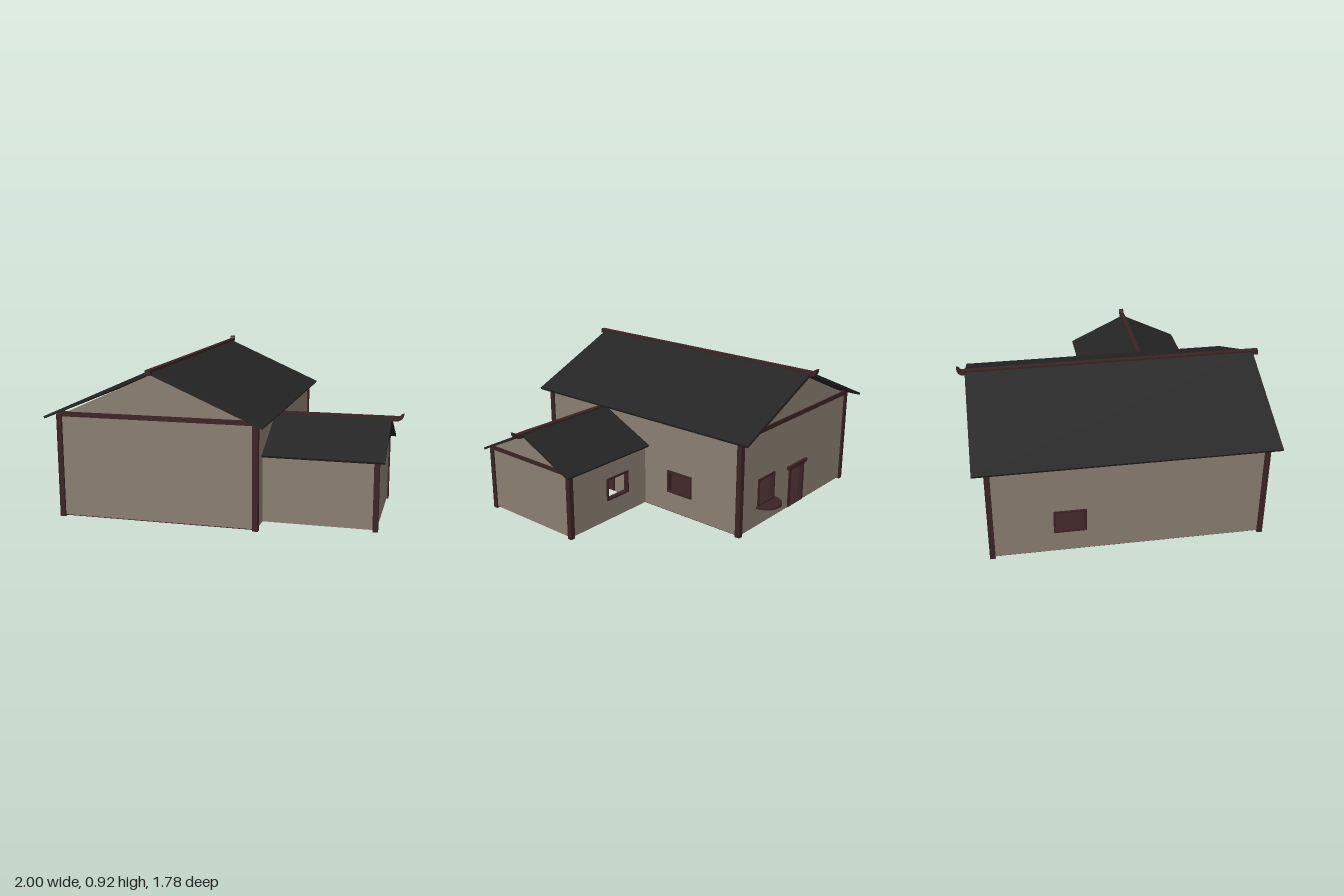
import * as THREE from 'three';

const material = (name, color) => Object.assign(new THREE.MeshStandardMaterial({ color }), { name });

export function createModel() {
  const plaster = material('plaster', 0x8b7e71);
  const tile = material('roofTile', 0x242424);
  const wood = material('darkWood', 0x3c2324);
  const house = new THREE.Group();
  house.name = 'house';

  const add = (name, geo, mat, parent) => {
    const mesh = new THREE.Mesh(geo, mat);
    mesh.name = name;
    parent.add(mesh);
    return mesh;
  };
  const box = (name, mat, parent, x0, x1, y0, y1, z0, z1) => {
    const mesh = add(name, new THREE.BoxGeometry(x1 - x0, y1 - y0, z1 - z0), mat, parent);
    mesh.position.set((x0 + x1) / 2, (y0 + y1) / 2, (z0 + z1) / 2);
    return mesh;
  };
  const outline = (pts) => new THREE.Shape(pts.map(([u, y]) => new THREE.Vector2(u, y)));
  const rect = ([u0, u1, y0, y1]) => [[u0, y0], [u1, y0], [u1, y1], [u0, y1]];
  // Flat profile extruded evenly to both sides of its plane
  const slab = (shape, depth) =>
    new THREE.ExtrudeGeometry(shape, { depth, bevelEnabled: false, curveSegments: 8 }).translate(0, 0, -depth / 2);
  // A plane across the house ('z': u = x) or along it ('x': u = z)
  const place = (mesh, axis, at) => {
    if (axis === 'z') mesh.position.z = at;
    else {
      mesh.rotation.y = -Math.PI / 2;
      mesh.position.x = at;
    }
    return mesh;
  };

  // Wall with framed openings: { r: [u0, u1, y0, y1], door }
  const wall = (name, parent, axis, at, pts, openings = []) => {
    const shape = outline(pts);
    openings.forEach(({ r }) => shape.holes.push(outline(rect(r))));
    place(add(name, slab(shape, 0.012), plaster, parent), axis, at);
    openings.forEach(({ r: [u0, u1, y0, y1], door }) => {
      const t = door ? 0.018 : 0.011;
      const ring = outline(rect([u0 - t / 2, u1 + t / 2, door ? y0 : y0 - t / 2, y1 + t / 2]));
      ring.holes.push(outline(rect([u0 + t / 2, u1 - t / 2, y0 + (door ? 0.004 : t / 2), y1 - t / 2])));
      place(add(door ? 'doorFrame' : 'windowFrame', slab(ring, 0.03), wood, parent), axis, at);
      if (door) {
        const lintel = outline(rect([u0 - 0.03, u1 + 0.03, y1, y1 + 0.022]));
        place(add('doorLintel', slab(lintel, 0.045), wood, parent), axis, at);
      }
    });
  };
  const gable = (u0, u1, base, apex) => [[u0, 0.01], [u1, 0.01], [u1, base], [(u0 + u1) / 2, apex], [u0, base]];

  // Chevron roof cross-section, eave to eave
  const roofShape = (u0, u1, eave, ridge, t) => {
    const m = (u0 + u1) / 2;
    return outline([[u0, eave], [u0 + 0.006, eave - t * 0.6], [m, ridge - t], [u1 - 0.006, eave - t * 0.6], [u1, eave], [m, ridge]]);
  };

  // Ridge beam, with an upturned hook at its far end
  const ridgeShape = (u0, u1, tip, y0, y1, top) => {
    const s = new THREE.Shape();
    s.moveTo(u0, y0);
    s.lineTo(u1, y0);
    s.quadraticCurveTo(tip, y0, tip, top);
    s.lineTo(tip - 0.016, top - 0.006);
    s.quadraticCurveTo(tip - 0.02, y1 - 0.006, u1, y1);
    s.lineTo(u0, y1);
    return s;
  };

  // ---- Main hall ----
  const hall = new THREE.Group();
  hall.name = 'mainHall';
  house.add(hall);
  const [L, R, F, B] = [-0.93, 0.235, 0.79, -0.765];
  const sideWindow = { r: [-0.41, -0.235, 0.145, 0.277] };

  box('floor', wood, hall, L, R, 0.004, 0.014, B, F);
  wall('frontWall', hall, 'z', F, gable(L, R, 0.605, 0.868));
  wall('backWall', hall, 'z', B, gable(L, R, 0.605, 0.868), [
    { r: [-0.105, 0.055, 0.14, 0.305] },
    { r: [-0.435, -0.285, 0.014, 0.27], door: true },
  ]);
  wall('outerSideWall', hall, 'x', L, rect([B, F, 0.01, 0.605]), [sideWindow]);
  wall('wingSideWall', hall, 'x', R, rect([B, F, 0.01, 0.605]), [
    sideWindow,
    { r: [0.235, 0.385, 0.014, 0.245], door: true },
  ]);
  for (const z of [F, B]) {
    for (const x of [L, R]) box('cornerPost', wood, hall, x - 0.016, x + 0.016, 0, 0.612, z - 0.016, z + 0.016);
    box('gableBeam', wood, hall, L, R, 0.6, 0.628, z - 0.014, z + 0.014);
  }
  const hallRoof = add('hallRoof', slab(roofShape(-1, 0.293, 0.606, 0.89, 0.021), 1.7), tile, hall);
  hallRoof.position.z = 0.005;
  const hallRidge = add('hallRidge', slab(ridgeShape(-0.888, 0.845, 0.89, 0.868, 0.897, 0.917), 0.03), wood, hall);
  hallRidge.rotation.y = Math.PI / 2;
  hallRidge.position.x = -0.349;

  // Half-round shelf under the back window
  const shelf = add('windowShelf', new THREE.CylinderGeometry(0.1, 0.1, 0.014, 24, 1, false, Math.PI / 2, Math.PI), wood, hall);
  shelf.position.set(-0.03, 0.131, B - 0.005);

  // ---- Side wing ----
  const wing = new THREE.Group();
  wing.name = 'sideWing';
  house.add(wing);
  const [E, WF, WB] = [0.885, 0.64, -0.035];

  wall('wingFrontWall', wing, 'z', WF, rect([R, E, 0.01, 0.408]));
  wall('wingBackWall', wing, 'z', WB, rect([R, E, 0.01, 0.408]), [{ r: [0.41, 0.585, 0.145, 0.277] }]);
  wall('wingEndWall', wing, 'x', E, gable(WB, WF, 0.408, 0.572));
  for (const z of [WF, WB]) box('wingPost', wood, wing, E - 0.015, E + 0.015, 0, 0.414, z - 0.015, z + 0.015);
  box('wingGableBeam', wood, wing, E - 0.014, E + 0.014, 0.396, 0.42, WB, WF);
  const wingRoof = add('wingRoof', slab(roofShape(-0.075, 0.675, 0.406, 0.588, 0.02), 0.695), tile, wing);
  place(wingRoof, 'x', 0.5825);
  const wingRidge = add('wingRidge', slab(ridgeShape(R, 0.94, 1, 0.564, 0.594, 0.61), 0.03), wood, wing);
  wingRidge.position.z = 0.302;

  return house;
}
